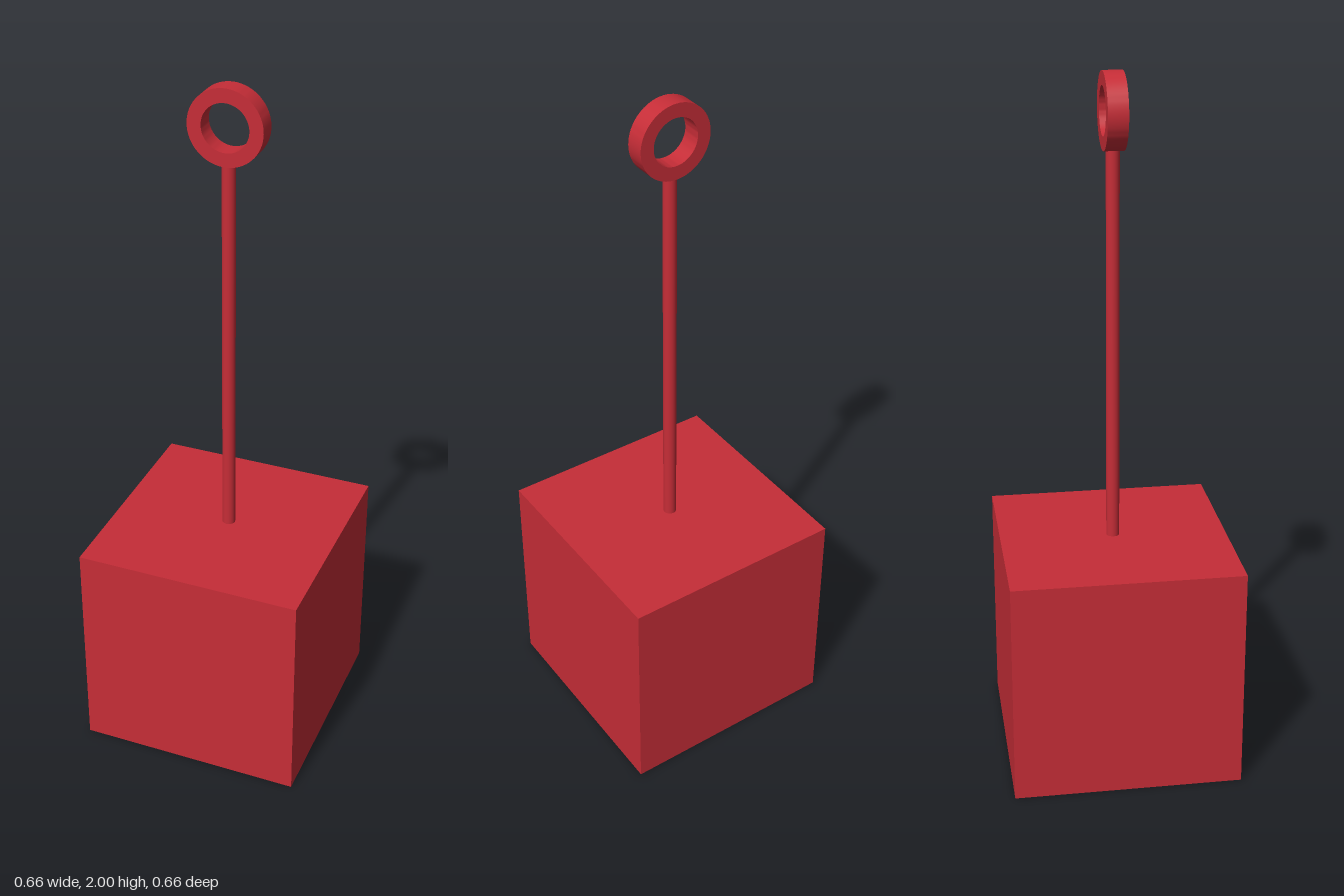
import * as THREE from 'three';
import { toCreasedNormals } from 'three/addons/utils/BufferGeometryUtils.js';

const CUBE = 0.66;
const RING_OUTER = 0.106, RING_INNER = 0.067, RING_DEPTH = 0.056;
const RING_Y = 2 - RING_OUTER;
const ROD_RADIUS = 0.019;

export function createModel() {
  const group = new THREE.Group();
  const red = new THREE.MeshStandardMaterial({ color: 0xc62d37 });

  const add = (name, geometry, y) => {
    const mesh = new THREE.Mesh(geometry, red);
    mesh.name = name;
    mesh.position.y = y;
    group.add(mesh);
  };

  // Solid cube at the bottom
  add('weightBlock', new THREE.BoxGeometry(CUBE, CUBE, CUBE), CUBE / 2);

  // Thin rod from the cube's top into the wall of the ring
  const rodTop = RING_Y - RING_OUTER + 0.01;
  add('rod', new THREE.CylinderGeometry(ROD_RADIUS, ROD_RADIUS, rodTop - CUBE, 32), (rodTop + CUBE) / 2);

  // Flat-faced ring facing the front
  const outline = new THREE.Shape().absarc(0, 0, RING_OUTER, 0, Math.PI * 2);
  outline.holes.push(new THREE.Path().absarc(0, 0, RING_INNER, 0, Math.PI * 2, true));
  const ring = new THREE.ExtrudeGeometry(outline, { depth: RING_DEPTH, bevelEnabled: false, curveSegments: 32 });
  ring.translate(0, 0, -RING_DEPTH / 2);
  add('ring', toCreasedNormals(ring, 0.6), RING_Y);

  return group;
}
